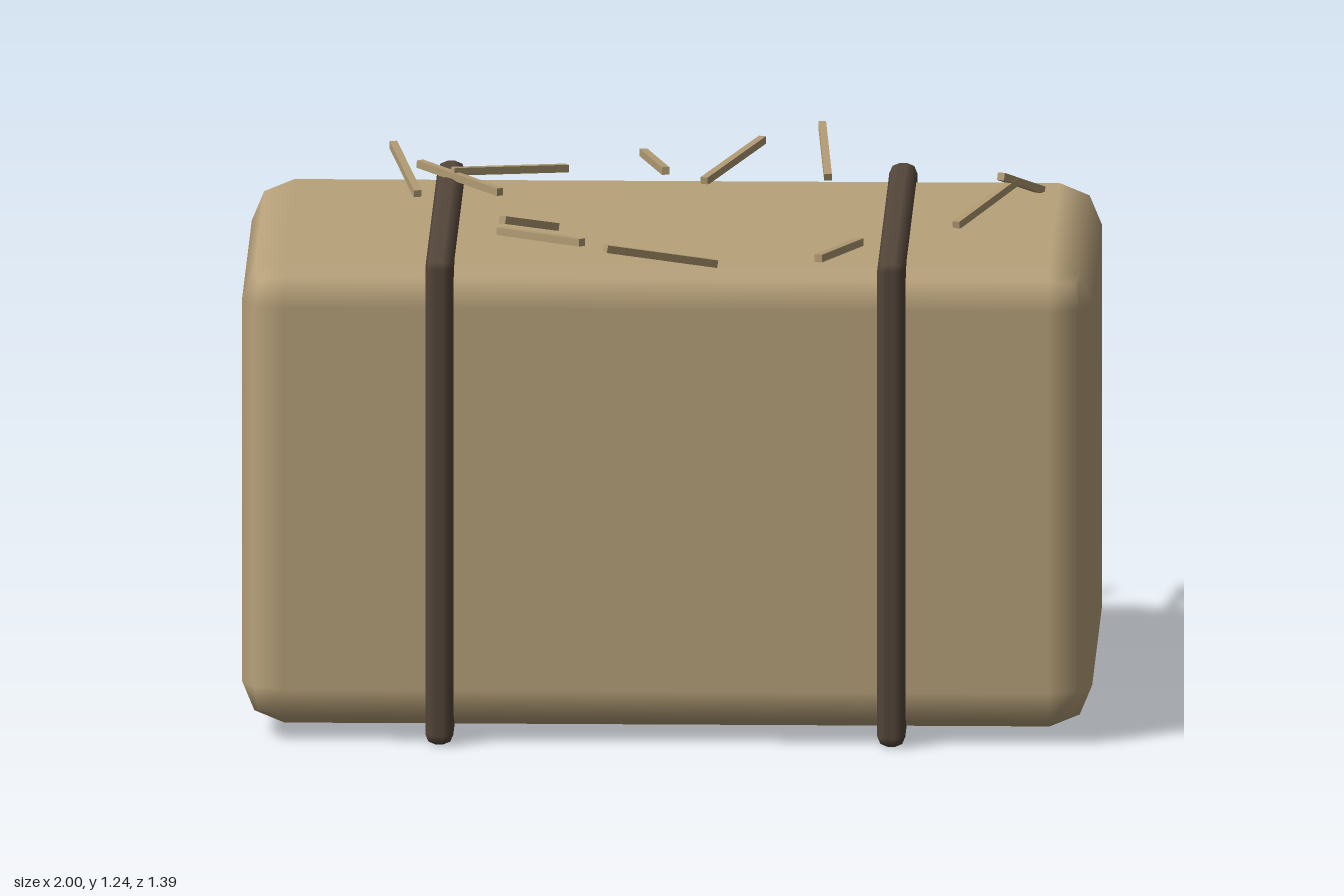
import * as THREE from 'three';
import { RoundedBoxGeometry } from 'three/addons/geometries/RoundedBoxGeometry.js';

const hay = new THREE.MeshStandardMaterial({ color: 0xb8a27b });
const leather = new THREE.MeshStandardMaterial({ color: 0x54463a });
const stalk = new THREE.MeshStandardMaterial({ color: 0xb09a72 });

function roundedBlock(name, size, radius, position, material) {
  const mesh = new THREE.Mesh(new RoundedBoxGeometry(...size, 1, radius), material);
  mesh.name = name;
  mesh.position.set(...position);
  return mesh;
}

// A thin square stalk running from point a to point b
function strawStalk(a, b) {
  const from = new THREE.Vector3(...a), to = new THREE.Vector3(...b);
  const mesh = new THREE.Mesh(new THREE.BoxGeometry(0.018, 0.018, from.distanceTo(to)), stalk);
  mesh.name = 'straw';
  mesh.position.copy(from).add(to).multiplyScalar(0.5);
  mesh.lookAt(to);
  return mesh;
}

export function createModel() {
  const model = new THREE.Group();
  model.name = 'hayBale';

  // Bale body with softly bevelled edges
  model.add(roundedBlock('bale', [2, 1.115, 1.115], 0.1, [0, 0.59, 0.033], hay));

  // Two binding straps around the bale
  for (const x of [-0.533, 0.53]) {
    model.add(roundedBlock('strap', [0.066, 1.17, 1.17], 0.025, [x, 0.588, 0.035], leather));
  }

  // Loose straw lying on the top
  const straws = new THREE.Group();
  straws.name = 'looseStraw';
  const ends = [
    [[-0.67, 1.21, -0.53], [-0.605, 1.155, -0.225]],
    [[-0.605, 1.185, -0.43], [-0.41, 1.17, -0.18]],
    [[-0.525, 1.19, -0.32], [-0.26, 1.165, -0.485]],
    [[-0.4, 1.165, 0.245], [-0.2, 1.19, 0.495]],
    [[-0.39, 1.222, 0.39], [-0.27, 1.16, 0.17]],
    [[-0.085, 1.165, -0.67], [-0.025, 1.185, -0.36]],
    [[0.195, 1.195, -0.68], [0.065, 1.155, -0.39]],
    [[0.335, 1.23, -0.69], [0.355, 1.155, -0.44]],
    [[0.86, 1.15, -0.33], [0.77, 1.228, -0.11]],
    [[0.67, 1.155, 0.105], [0.8, 1.2, -0.18]],
    [[0.45, 1.168, 0.365], [0.36, 1.19, 0.665]],
    [[-0.14, 1.215, 0.685], [0.115, 1.145, 0.515]],
  ];
  for (const [a, b] of ends) straws.add(strawStalk(a, b));
  model.add(straws);

  return model;
}
